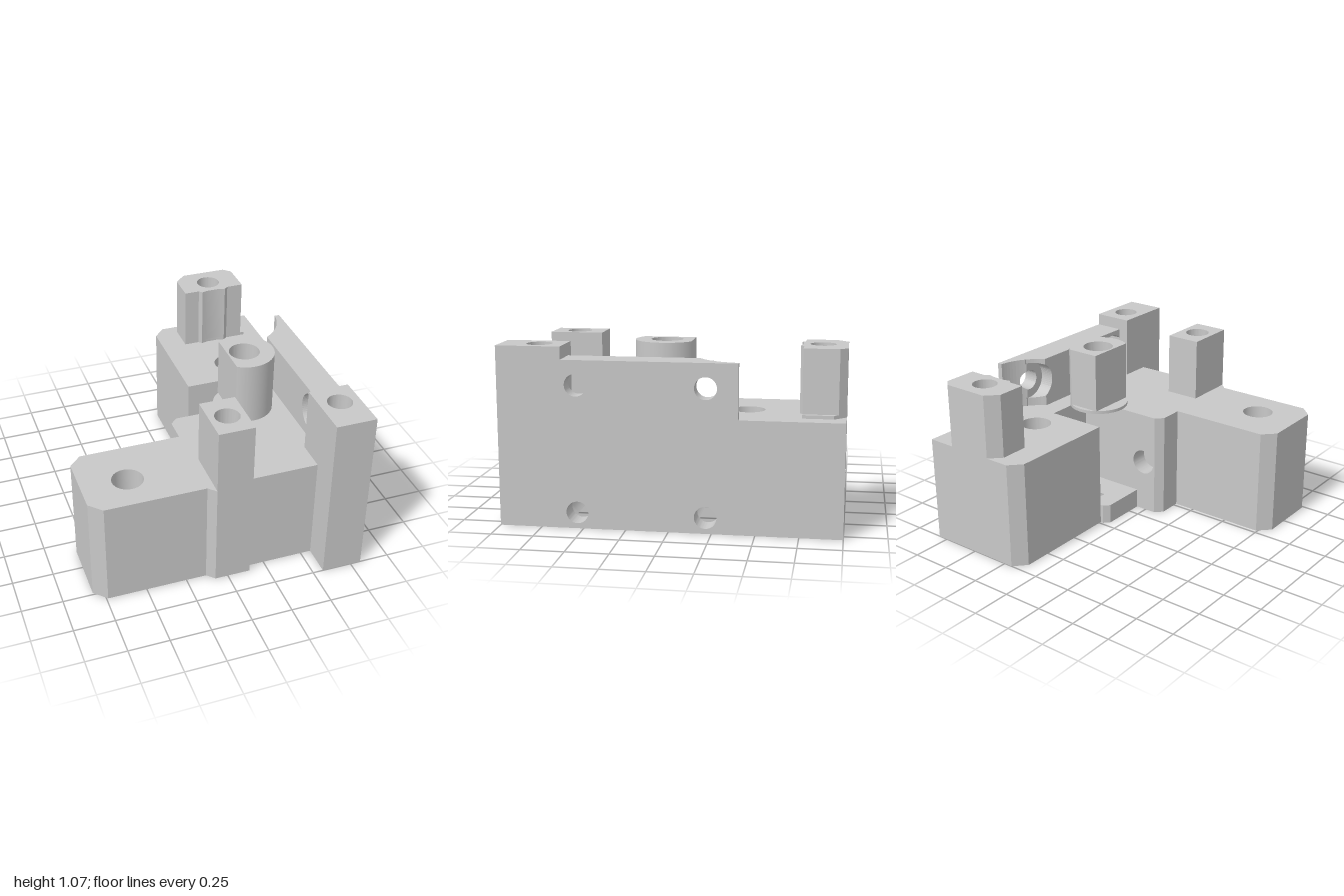
import * as THREE from 'three';
import { toCreasedNormals } from 'three/addons/utils/BufferGeometryUtils.js';

const grey = new THREE.MeshStandardMaterial({ color: 0xc8c8c8 });
grey.name = 'plain grey';

// Flat shape, always wound counter-clockwise, with round [x, y, r] holes wound the other way
function makeShape(points, holes = []) {
  const outline = points.map(([x, y]) => new THREE.Vector2(x, y));
  if (THREE.ShapeUtils.isClockWise(outline)) outline.reverse();
  const shape = new THREE.Shape(outline);
  for (const [x, y, r] of holes) shape.holes.push(new THREE.Path().absarc(x, y, r, 0, Math.PI * 2, true));
  return shape;
}

const extrude = (shape, depth) =>
  new THREE.ExtrudeGeometry(shape, { depth, bevelEnabled: false, curveSegments: 32 });

// Prism standing on the x-z plane
function upright(points, y0, y1, holes = []) {
  const shape = makeShape(points.map(([x, z]) => [x, -z]), holes.map(([x, z, r]) => [x, -z, r]));
  return extrude(shape, y1 - y0).rotateX(-Math.PI / 2).translate(0, y0, 0);
}

// Prism running along x, drawn with [z, y] points
function sideways(points, x0, x1, holes = []) {
  const shape = makeShape(points.map(([z, y]) => [-z, y]), holes.map(([z, y, r]) => [-z, y, r]));
  return extrude(shape, x1 - x0).rotateY(Math.PI / 2).translate(x0, 0, 0);
}

const rect = (a0, a1, b0, b1) => [[a0, b0], [a1, b0], [a1, b1], [a0, b1]];

export function createModel() {
  const model = new THREE.Group();
  const add = (name, geometry, parent = model) => {
    const mesh = new THREE.Mesh(toCreasedNormals(geometry, 0.5), grey);
    mesh.name = name;
    parent.add(mesh);
  };

  const deck = 0.67, top = 1.065, inner = 0.68, outer = 0.815;
  const plate = 0.125, low = 0.22, slotX = 0.2, notchX = 0.5;
  const back = -0.235, wallZ = 0.085, front = 0.81;
  const boltZ = [-0.215, 0.535], boltY = 0.095, boltR = 0.065, boreR = 0.12;

  // Outline pieces shared by the body layers
  const wing = [
    [0.14, front], [0.14, 0.855], [-0.08, 0.855], [-0.125, front], [-0.74, front], [-0.815, 0.735],
    [-0.815, 0.35], [-0.74, 0.275], [-0.115, 0.275], [-0.115, 0.13], [-0.07, wallZ],
  ];
  const backCorner = [[0.123, back], [0.123, -0.925], [0.195, -1]];

  // Upper part of the block, with two deep vertical holes
  add('mainBody', upright([
    [inner, -1], [inner, 1], [0.565, 1], [0.565, front], ...wing,
    [-0.07, 0.2], [0.11, 0.2], [0.11, wallZ], [notchX, wallZ], [notchX, back], ...backCorner,
  ], low, deck, [[-0.533, 0.58, 0.095], [0.478, -0.43, 0.095]]));

  // Notch wall with its cross hole
  add('notchWall', extrude(makeShape(rect(-0.07, 0.11, low, deck), [[0.02, 0.34, 0.08]]), 0.115)
    .translate(0, 0, wallZ));

  // Base outside the bores
  add('baseWing', upright([[slotX, front], ...wing, [slotX, wallZ]], 0, low));
  add('baseBackCorner', upright([[slotX, -1], [slotX, back], ...backCorner], 0, low));
  add('floorPlate', upright([
    [slotX, wallZ], [0.07, wallZ], [0.07, -0.2], [0.105, back], [slotX, back],
  ], 0, plate));
  add('cornerFoot', upright(rect(0.565, inner, front, 1), 0, low));

  // Base crossed by two round bores that break through the underside
  const bore = (z, a0, a1) => Array.from({ length: 25 }, (_, i) => {
    const a = a0 + (a1 - a0) * i / 24;
    return [z + boreR * Math.cos(a), boltY + boreR * Math.sin(a)];
  });
  const rightEnd = -Math.asin(boltY / boreR), leftEnd = Math.PI - rightEnd;
  add('boredBase', sideways([
    [-1, 0], ...bore(boltZ[0], leftEnd, rightEnd), ...bore(boltZ[1], leftEnd, rightEnd),
    [front, 0], [front, low], [-1, low],
  ], notchX, inner));
  add('boredBaseBack', sideways([
    [-1, 0], ...bore(boltZ[0], leftEnd, Math.acos((back - boltZ[0]) / boreR)), [back, low], [-1, low],
  ], slotX, notchX));
  add('boredBaseFront', sideways([
    ...bore(boltZ[0], Math.asin((plate - boltY) / boreR), rightEnd), ...bore(boltZ[1], leftEnd, rightEnd),
    [front, 0], [front, low], [wallZ, low], [wallZ, plate],
  ], slotX, notchX));

  // Side plate with the two lower bolt holes
  add('sidePlate', sideways(rect(-1, 1, 0, deck), inner, outer, boltZ.map(z => [z, boltY, boltR])));

  // Upper side wall, cut in strips so the bolt holes cross the scooped end
  const wall = new THREE.Group();
  wall.name = 'upperSideWall';
  model.add(wall);
  const scoop = z => z > -0.16 ? 0.63 : Math.max(0.63, 0.475 + Math.sqrt(0.31 ** 2 - (z + 0.43) ** 2));
  const wallLayer = (name, x0, x1, radius) => {
    const cuts = [-0.4, -0.38, -0.36, -0.34, -0.32, -0.3, -0.28, -0.26, -0.24, -0.22, -0.2, -0.18, -0.16, 0.62];
    for (const c of boltZ) for (let i = 0; i <= 32; i++) cuts.push(c - radius * Math.cos(i * Math.PI / 32));
    const zs = [...new Set(cuts.map(z => +z.toFixed(4)))].filter(z => z <= 0.62).sort((a, b) => a - b);
    const half = (z, c) => Math.sqrt(Math.max(0, radius ** 2 - (z - c) ** 2));
    for (let i = 0; i < zs.length - 1; i++) {
      const [a, b] = [zs[i], zs[i + 1]];
      if (Math.min(scoop(a), scoop(b)) >= x1) continue;
      const c = boltZ.find(v => Math.abs((a + b) / 2 - v) < radius);
      const pieces = c === undefined ? [rect(a, b, deck, 0.99)] : [
        [[a, deck], [b, deck], [b, 0.845 - half(b, c)], [a, 0.845 - half(a, c)]],
        [[a, 0.845 + half(a, c)], [b, 0.845 + half(b, c)], [b, 0.99], [a, 0.99]],
      ];
      for (const piece of pieces) {
        const g = sideways(piece, x0, x1), p = g.attributes.position;
        for (let k = 0; k < p.count; k++)
          if (p.getX(k) < x0 + 0.001) p.setX(k, Math.min(x1, Math.max(x0, scoop(p.getZ(k)))));
        add(name, g, wall);
      }
    }
  };
  wallLayer('boltHeadRecess', 0.63, 0.72, boreR);
  wallLayer('boltWall', 0.72, outer, boltR);

  // Square posts with screw holes
  add('frontPost', upright(rect(-0.08, 0.14, 0.53, 0.855), deck, top, [[0.03, 0.697, 0.075]]));
  add('cornerPost', upright(rect(0.565, outer, 0.62, 1), deck, top, [[0.692, 0.772, 0.075]]));

  // Back post with chamfered rear corners and a lobed front, on a thin foot
  const backPost = right => [
    [0.28, -0.75], [0.375, -0.75], [0.395, -0.73], [0.435, -0.74], [0.515, -0.74], [0.555, -0.73],
    [0.58, -0.75], [right, -0.75], [right, -0.93 - (0.71 - right)], [0.64, -1], [0.35, -1], [0.28, -0.93],
  ];
  add('backPostFoot', upright(backPost(0.71), deck, 0.69));
  add('backPost', upright(backPost(0.685), 0.69, top, [[0.478, -0.855, 0.075]]));

  // Round post with two flats, on a disc
  const cx = 0.378, cz = 0.075, r = 0.187, flatX = 0.27, flatZ = -0.085;
  add('roundPostDisc', new THREE.CylinderGeometry(r, r, 0.02, 64).translate(cx, deck + 0.01, cz));
  const start = Math.asin((flatZ - cz) / r), end = Math.acos((flatX - cx) / r);
  const postOutline = [[flatX, flatZ]];
  for (let i = 0; i <= 64; i++) {
    const a = start + (end - start) * i / 64;
    postOutline.push([cx + r * Math.cos(a), cz + r * Math.sin(a)]);
  }
  add('roundPost', upright(postOutline, 0.69, top, [[cx, cz, 0.095]]));

  return model;
}
